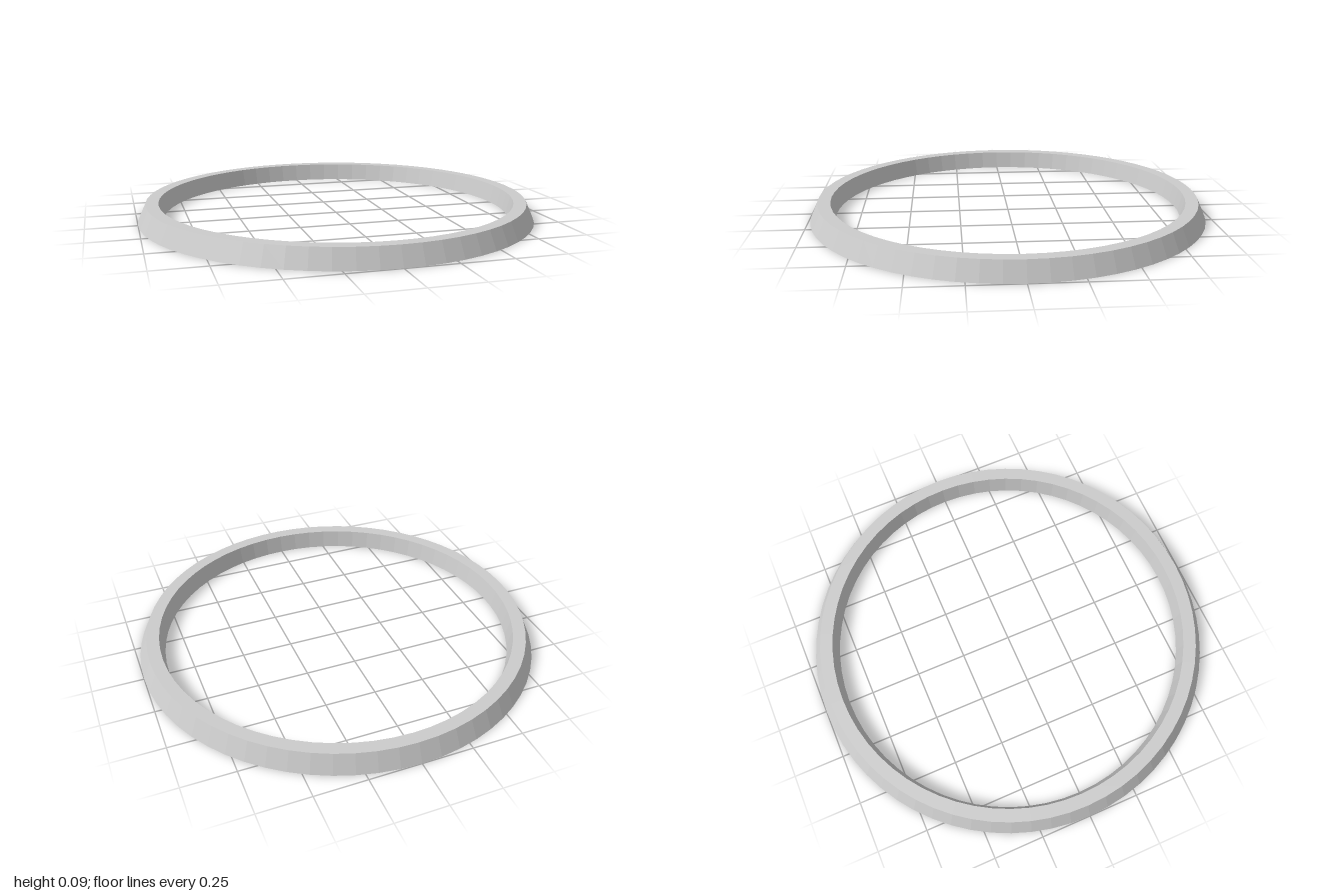
import * as THREE from 'three';

export function createModel() {
  const group = new THREE.Group();
  group.name = 'ring';

  const material = new THREE.MeshStandardMaterial({
    color: 0xcccccc,
    flatShading: true,
    side: THREE.DoubleSide,
  });

  // Hollow channel profile: sloped outer wall, flat top, sloped inner wall, open underneath
  const profile = [
    [1.0, 0],
    [0.96, 0.09],
    [0.897, 0.09],
    [0.876, 0],
  ].map(([r, y]) => new THREE.Vector2(r, y));

  const rim = new THREE.Mesh(new THREE.LatheGeometry(profile, 64), material);
  rim.name = 'rim';
  group.add(rim);

  return group;
}
